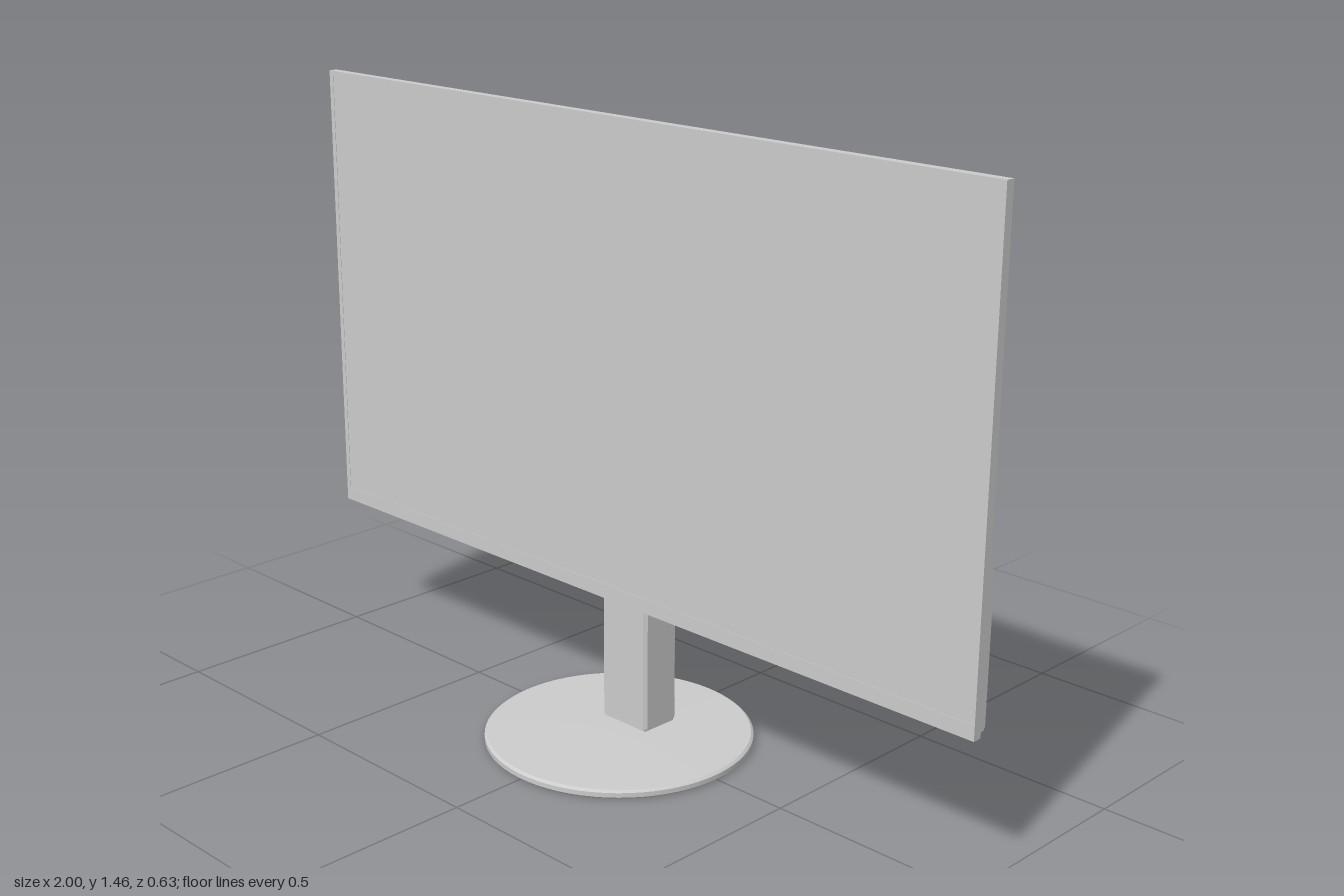
import * as THREE from 'three';
import { toCreasedNormals } from 'three/addons/utils/BufferGeometryUtils.js';

const plastic = new THREE.MeshStandardMaterial({ color: 0xcccccc });
plastic.name = 'light grey plastic';

function part(parent, name, geometry, x = 0, y = 0, z = 0) {
  const mesh = new THREE.Mesh(geometry, plastic);
  mesh.name = name;
  mesh.position.set(x, y, z);
  parent.add(mesh);
  return mesh;
}
const box = (w, h, d) => new THREE.BoxGeometry(w, h, d);

function polygon(points) {
  return new THREE.Shape(points.map(([x, y]) => new THREE.Vector2(x, y)));
}
const rect = (x0, y0, x1, y1) => polygon([[x0, y0], [x1, y0], [x1, y1], [x0, y1]]);

// Depth of the bowed rear housing at a given x, rounded off at the ends
function depth(x) {
  const d = 0.053 + 0.057 * (1 - x * x);
  return Math.abs(x) > 0.985 ? d - 0.014 : d;
}

const PORT = { x0: -0.65, x1: -0.21, y0: 0.4, y1: 0.575, sink: 0.022 };

// Housing lofted along x, with a sunken pocket for the sockets
function housingGeometry() {
  const half = [0.1, 0.21, 0.35, 0.5, 0.65, 0.78, 0.9, 0.975, 0.99];
  const xs = [...half.map(x => -x).reverse(), 0, ...half];
  const section = x => {
    const d = depth(x), top = Math.min(0.045, d * 0.85);
    return [[0.345, 0.01], [0.345, d - 0.006], [0.352, d], [PORT.y0, d], [PORT.y1, d],
      [0.605, d], [0.715, top], [0.73, top - 0.014], [0.73, 0.01]]
      .map(([y, z]) => [x, y, -z]);
  };
  const rows = xs.map(section), out = [];
  const cell = (a, b, c, d) => out.push(...a, ...d, ...c, ...a, ...c, ...b);
  const sunk = p => [p[0], p[1], p[2] + PORT.sink];
  for (let i = 0; i < xs.length - 1; i++) {
    for (let j = 0; j < rows[0].length - 1; j++) {
      const a = rows[i][j], b = rows[i + 1][j], c = rows[i + 1][j + 1], d = rows[i][j + 1];
      const inPocket = j === 3 && xs[i] >= PORT.x0 && xs[i + 1] <= PORT.x1;
      if (!inPocket) {
        cell(a, b, c, d);
        continue;
      }
      const [a2, b2, c2, d2] = [a, b, c, d].map(sunk);
      cell(a2, b2, c2, d2);
      cell(a, b, b2, a2);
      cell(d2, c2, c, d);
      if (xs[i] === PORT.x0) cell(a, a2, d2, d);
      if (xs[i + 1] === PORT.x1) cell(b2, b, c, c2);
    }
  }
  // End caps
  const first = rows[0], last = rows[rows.length - 1];
  for (let j = 1; j < first.length - 1; j++) {
    out.push(...first[0], ...first[j + 1], ...first[j]);
    out.push(...last[0], ...last[j], ...last[j + 1]);
  }
  const geometry = new THREE.BufferGeometry();
  geometry.setAttribute('position', new THREE.Float32BufferAttribute(out, 3));
  return toCreasedNormals(geometry, 0.45);
}

function buildDisplay() {
  const display = new THREE.Group();
  display.name = 'display';
  const outline = rect(-1, 0.34, 1, 1.455);
  outline.holes.push(rect(-0.987, 0.375, 0.987, 1.443));
  part(display, 'bezel', new THREE.ExtrudeGeometry(outline, { depth: 0.022, bevelEnabled: false }), 0, 0, -0.012);
  part(display, 'screen', box(1.974, 1.068, 0.02), 0, 0.909, -0.001);
  part(display, 'rearHousing', housingGeometry());
  // Control buttons under the right-hand edge
  for (let i = 0; i < 6; i++) part(display, 'button', box(0.035, 0.01, 0.012), 0.53 + i * 0.054, 0.341, -0.025);
  return display;
}

function buildSockets() {
  const sockets = new THREE.Group();
  sockets.name = 'sockets';
  const floorZ = x => -depth(x) + PORT.sink;
  const plug = (name, x, y, geometry) => part(sockets, name, geometry, x, y, floorZ(x));
  // Video connector with its two screws
  const dShape = polygon([[-0.045, -0.018], [0.045, -0.018], [0.055, 0.018], [-0.055, 0.018]]);
  dShape.holes.push(polygon([[-0.036, -0.011], [0.036, -0.011], [0.044, 0.011], [-0.044, 0.011]]));
  plug('videoSocket', -0.39, 0.505, new THREE.ExtrudeGeometry(dShape, { depth: 0.016, bevelEnabled: false }).translate(0, 0, -0.014));
  for (const s of [-1, 1]) {
    plug('socketScrew', -0.39 + s * 0.073, 0.505, new THREE.CylinderGeometry(0.011, 0.011, 0.024, 6).rotateX(Math.PI / 2));
  }
  // Flat digital socket, power socket and audio jacks
  const frame = (w, h, t) => {
    const s = rect(-w / 2, -h / 2, w / 2, h / 2);
    s.holes.push(rect(-w / 2 + t, -h / 2 + t, w / 2 - t, h / 2 - t));
    return new THREE.ExtrudeGeometry(s, { depth: 0.014, bevelEnabled: false }).translate(0, 0, -0.012);
  };
  plug('digitalSocket', -0.39, 0.435, frame(0.08, 0.028, 0.006));
  plug('powerSocket', -0.49, 0.437, frame(0.042, 0.046, 0.008));
  for (const x of [-0.5, -0.56]) plug('audioJack', x, 0.505, new THREE.TorusGeometry(0.013, 0.005, 8, 20));
  return sockets;
}

function buildStand() {
  const stand = new THREE.Group();
  stand.name = 'stand';
  const rim = [[0, 0], [0.311, 0], [0.315, 0.004], [0.315, 0.015], [0.309, 0.02], [0.1, 0.024], [0, 0.026]];
  const disc = new THREE.LatheGeometry(rim.map(([r, y]) => new THREE.Vector2(r, y)), 72);
  part(stand, 'base', toCreasedNormals(disc, 0.5));
  part(stand, 'collar', box(0.13, 0.02, 0.095), 0, 0.026, -0.067);

  // Neck section seen from above, with a cable groove down the back
  const section = polygon([[-0.064, 0.014], [0.064, 0.014], [0.071, 0.022], [0.071, 0.112], [0.063, 0.121],
    [0.013, 0.121], [0.013, 0.095], [-0.013, 0.095], [-0.013, 0.121], [-0.063, 0.121], [-0.071, 0.112], [-0.071, 0.022]]);
  const neck = new THREE.ExtrudeGeometry(section, { depth: 0.398, bevelEnabled: false }).rotateX(-Math.PI / 2);
  part(stand, 'neck', neck, 0, 0.032, 0);

  // Locking clip above the neck
  part(stand, 'clip', box(0.036, 0.05, 0.02), 0, 0.45, -0.112);
  part(stand, 'clipPlate', box(0.14, 0.012, 0.02), 0, 0.43, -0.112);
  return stand;
}

export function createModel() {
  const model = new THREE.Group();
  model.name = 'monitor';
  model.add(buildDisplay(), buildSockets(), buildStand());
  return model;
}
